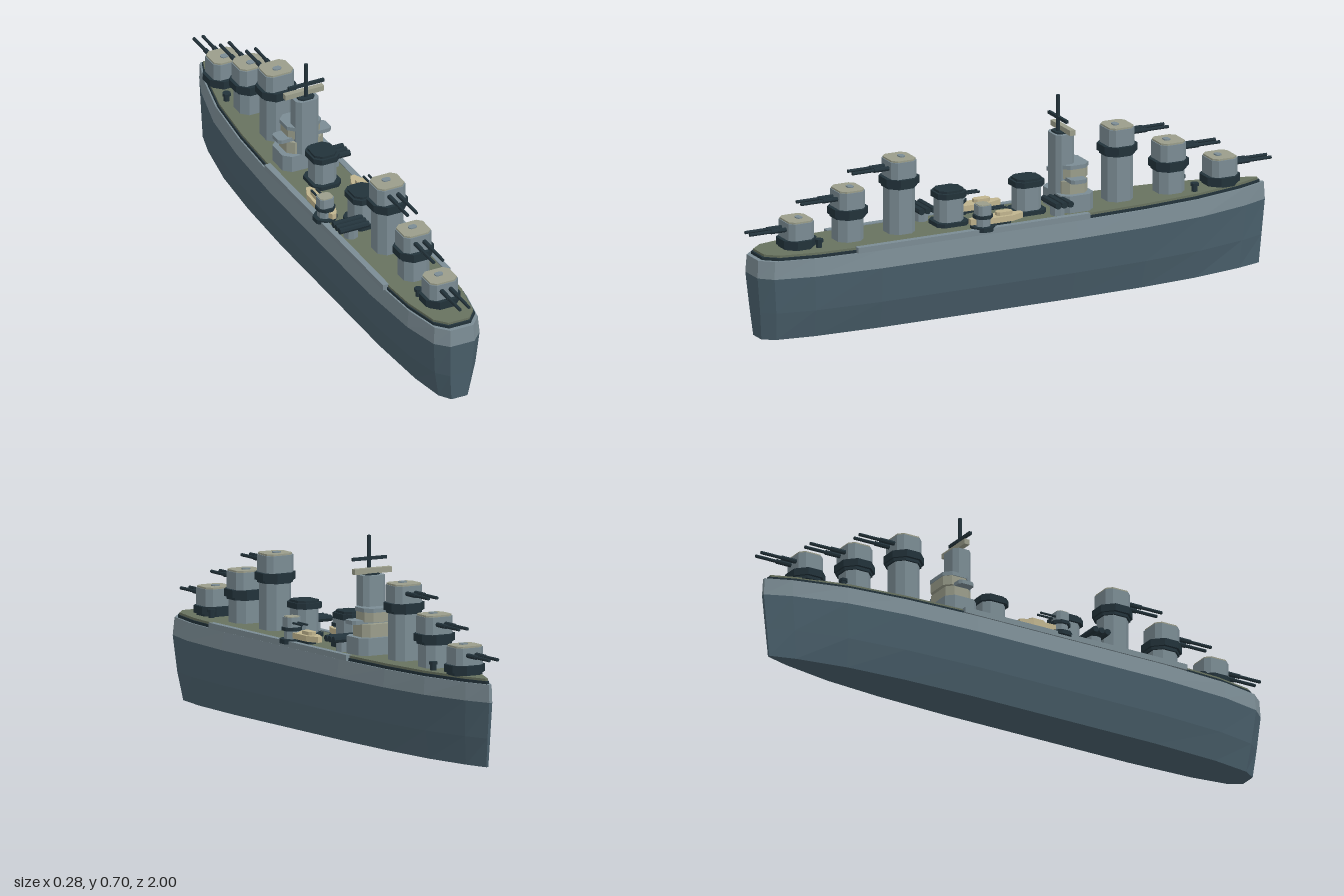
import * as THREE from 'three';

const mat = (name, color) => {
  const m = new THREE.MeshStandardMaterial({ color, flatShading: true });
  m.name = name;
  return m;
};

export function createModel() {
  const lower = mat('lower hull slate', 0x4a606c);
  const grey = mat('naval grey', 0x7b8c94);
  const deckGreen = mat('deck green', 0x68725f);
  const dark = mat('dark steel', 0x22323a);
  const roofTan = mat('roof tan', 0x9a9d8b);
  const boatTan = mat('boat tan', 0xc0b48e);

  const ship = new THREE.Group();
  ship.name = 'warship';

  const add = (parent, name, geo, material, x = 0, y = 0, z = 0) => {
    const m = new THREE.Mesh(geo, material);
    m.name = name;
    m.position.set(x, y, z);
    parent.add(m);
    return m;
  };
  const group = (name, x, y, z) => {
    const g = new THREE.Group();
    g.name = name;
    g.position.set(x, y, z);
    ship.add(g);
    return g;
  };
  // Upright prism from a plan outline of [x, z] points, standing on y = 0
  const plan = (pts, h) => {
    const s = new THREE.Shape(pts.map(([x, z]) => new THREE.Vector2(x, -z)));
    return new THREE.ExtrudeGeometry(s, { depth: h, bevelEnabled: false }).rotateX(-Math.PI / 2);
  };
  // Box with cut vertical corners
  const cutBox = (w, h, d, c) => {
    const a = w / 2, b = d / 2;
    return plan([[a - c, -b], [-a + c, -b], [-a, -b + c], [-a, b - c],
      [-a + c, b], [a - c, b], [a, b - c], [a, -b + c]], h);
  };
  const rod = (r, len, sides = 8) => new THREE.CylinderGeometry(r, r, len, sides);

  // Hull outline, half width against z, bow at -z
  const half = [[0.006, -0.982], [0.045, -0.89], [0.095, -0.7], [0.121, -0.48], [0.134, -0.2],
    [0.134, 0.55], [0.118, 0.8], [0.088, 0.94], [0.046, 0.984]];
  const outline = (sx, sz) => [...half.map(([x, z]) => [-x * sx, z * sz]),
    ...half.slice().reverse().map(([x, z]) => [x * sx, z * sz])];

  // Hull skin between horizontal sections [y, width scale, length scale]
  const skin = (sections) => {
    const pos = [];
    for (let k = 0; k + 1 < sections.length; k++) {
      const [y0, a0, b0] = sections[k], [y1, a1, b1] = sections[k + 1];
      const lo = outline(a0, b0), hi = outline(a1, b1);
      lo.forEach((p, i) => {
        const j = (i + 1) % lo.length;
        const a = [p[0], y0, p[1]], b = [lo[j][0], y0, lo[j][1]];
        const c = [hi[j][0], y1, hi[j][1]], d = [hi[i][0], y1, hi[i][1]];
        pos.push(...a, ...b, ...c, ...a, ...c, ...d);
      });
    }
    const g = new THREE.BufferGeometry();
    g.setAttribute('position', new THREE.Float32BufferAttribute(pos, 3));
    g.computeVertexNormals();
    return g;
  };
  add(ship, 'lowerHull', skin([[0, 0.67, 0.977], [0.1, 0.88, 0.987], [0.225, 1, 1]]), lower);
  add(ship, 'upperHull', skin([[0.225, 1, 1], [0.287, 0.94, 0.996]]), grey);
  add(ship, 'hullBottom', plan(outline(0.67, 0.977), 0.004), lower);
  add(ship, 'hullRim', plan(outline(0.94, 0.996), 0.006), grey, 0, 0.281);
  add(ship, 'deckEdge', plan(outline(0.9, 0.98), 0.01), dark, 0, 0.287);
  add(ship, 'deck', plan(outline(0.87, 0.972), 0.018), deckGreen, 0, 0.287);

  // Main gun turrets, stepped up towards midships at both ends
  const deckY = 0.305;
  for (const dir of [1, -1]) {
    [[0.812, 0], [0.615, 0.082], [0.418, 0.164]].forEach(([z, lift]) => {
      const t = group('mainTurret', 0, 0, dir * z);
      if (dir < 0) t.rotation.y = Math.PI;
      if (lift) add(t, 'barbette', cutBox(0.098, lift + 0.01, 0.098, 0.024), grey, 0, 0.302);
      const y = deckY + lift;
      add(t, 'collarSkirt', cutBox(0.112, 0.012, 0.112, 0.03), dark, 0, y - 0.002);
      add(t, 'collar', cutBox(0.132, 0.026, 0.126, 0.036), dark, 0, y + 0.008);
      add(t, 'gunHouse', cutBox(0.108, 0.06, 0.098, 0.018), grey, 0, y + 0.034);
      add(t, 'roof', cutBox(0.102, 0.006, 0.092, 0.017), roofTan, 0, y + 0.094);
      add(t, 'hatch', cutBox(0.03, 0.004, 0.022, 0.006), grey, 0, y + 0.1, -0.008);
      for (const x of [-0.017, 0.017]) {
        add(t, 'gunSleeve', rod(0.0085, 0.06), dark, x, y + 0.069, 0.075).rotation.x = Math.PI / 2;
        add(t, 'gunBarrel', rod(0.006, 0.15), dark, x, y + 0.069, 0.113).rotation.x = Math.PI / 2;
      }
    });
  }

  // Bridge with stacked decks, tower and mast
  const bridge = group('bridge', 0, deckY, -0.2);
  add(bridge, 'bridgeBase', cutBox(0.18, 0.06, 0.125, 0.025), grey, 0, 0, -0.03);
  add(bridge, 'bridgeMiddle', cutBox(0.14, 0.045, 0.1, 0.022), roofTan, 0, 0.06, -0.03);
  add(bridge, 'bridgeWing', cutBox(0.204, 0.014, 0.06, 0.01), grey, 0, 0.104, -0.025);
  add(bridge, 'bridgeUpper', cutBox(0.124, 0.034, 0.1, 0.022), roofTan, 0, 0.112, -0.035);
  add(bridge, 'bridgeUpperRoof', cutBox(0.13, 0.014, 0.104, 0.024), grey, 0, 0.146, -0.035);
  add(bridge, 'tower', cutBox(0.088, 0.266, 0.072, 0.016), grey, 0, 0, -0.003);
  add(bridge, 'towerCap', cutBox(0.06, 0.006, 0.05, 0.012), dark, 0, 0.266, 0);
  add(bridge, 'rangefinder', new THREE.BoxGeometry(0.148, 0.019, 0.02), roofTan, 0, 0.28, -0.01);
  add(bridge, 'mast', rod(0.007, 0.14), dark, 0, 0.33, 0.008);
  add(bridge, 'yard', new THREE.BoxGeometry(0.136, 0.011, 0.01), dark, 0, 0.32, 0.008);

  // Funnels
  for (const z of [-0.07, 0.228]) {
    const f = group('funnel', 0, deckY, z);
    add(f, 'funnelFoot', cutBox(0.105, 0.014, 0.12, 0.02), dark);
    add(f, 'funnelTrunk', cutBox(0.082, 0.1, 0.092, 0.02), grey);
    add(f, 'funnelCap', cutBox(0.1, 0.02, 0.11, 0.022), dark, 0, 0.098);
    add(f, 'funnelTop', cutBox(0.084, 0.008, 0.094, 0.02), dark, 0, 0.118);
  }

  // Torpedo mounts, trained outboard on opposite sides
  for (const [side, z] of [[1, -0.15], [-1, 0.295]]) {
    const t = group('torpedoMount', side * 0.077, deckY, z);
    add(t, 'torpedoPedestal', rod(0.026, 0.036), grey, 0, 0.018);
    for (const dz of [-0.024, 0, 0.024]) {
      add(t, 'torpedoTube', rod(0.0115, 0.112), dark, 0, 0.046, dz).rotation.z = Math.PI / 2;
    }
  }

  for (const side of [-1, 1]) {
    // Side walkways
    add(ship, 'sideWalkway', new THREE.BoxGeometry(0.022, 0.02, 0.89), grey, side * 0.118, 0.298, 0.195);

    // Ship's boats
    const boat = group('boat', side * 0.085, deckY, 0.09);
    const hullPts = [[0.008, -0.1], [-0.008, -0.1], [-0.027, -0.055], [-0.027, 0.055],
      [-0.008, 0.1], [0.008, 0.1], [0.027, 0.055], [0.027, -0.055]];
    add(boat, 'boatHull', plan(hullPts, 0.02), boatTan, 0, 0.012);
    add(boat, 'boatCabin', cutBox(0.03, 0.012, 0.06, 0.008), boatTan, 0, 0.032, -0.03);
    add(boat, 'boatCradle', new THREE.BoxGeometry(0.03, 0.014, 0.1), dark, 0, 0.006);

    // Secondary guns facing the bow
    const s = group('secondaryGun', side * 0.1, 0.298, 0.148);
    add(s, 'secondaryCollar', cutBox(0.08, 0.016, 0.08, 0.024), dark);
    add(s, 'secondaryPedestal', cutBox(0.05, 0.044, 0.05, 0.014), grey, 0, 0.014);
    add(s, 'secondaryPlatform', cutBox(0.066, 0.012, 0.066, 0.02), dark, 0, 0.044);
    add(s, 'secondaryHouse', cutBox(0.054, 0.034, 0.05, 0.01), grey, 0, 0.056);
    add(s, 'secondaryRoof', cutBox(0.048, 0.004, 0.044, 0.009), roofTan, 0, 0.089);
    for (const x of [-0.01, 0.01]) {
      add(s, 'secondaryBarrel', rod(0.004, 0.07), dark, x, 0.072, -0.05).rotation.x = Math.PI / 2;
    }

    // Deck ventilators
    for (const z of [-0.69, 0.75]) {
      add(ship, 'ventilatorPost', rod(0.011, 0.024), dark, side * 0.05, deckY + 0.012, z);
      add(ship, 'ventilatorHead', rod(0.015, 0.01), dark, side * 0.05, deckY + 0.025, z);
    }
  }

  return ship;
}
